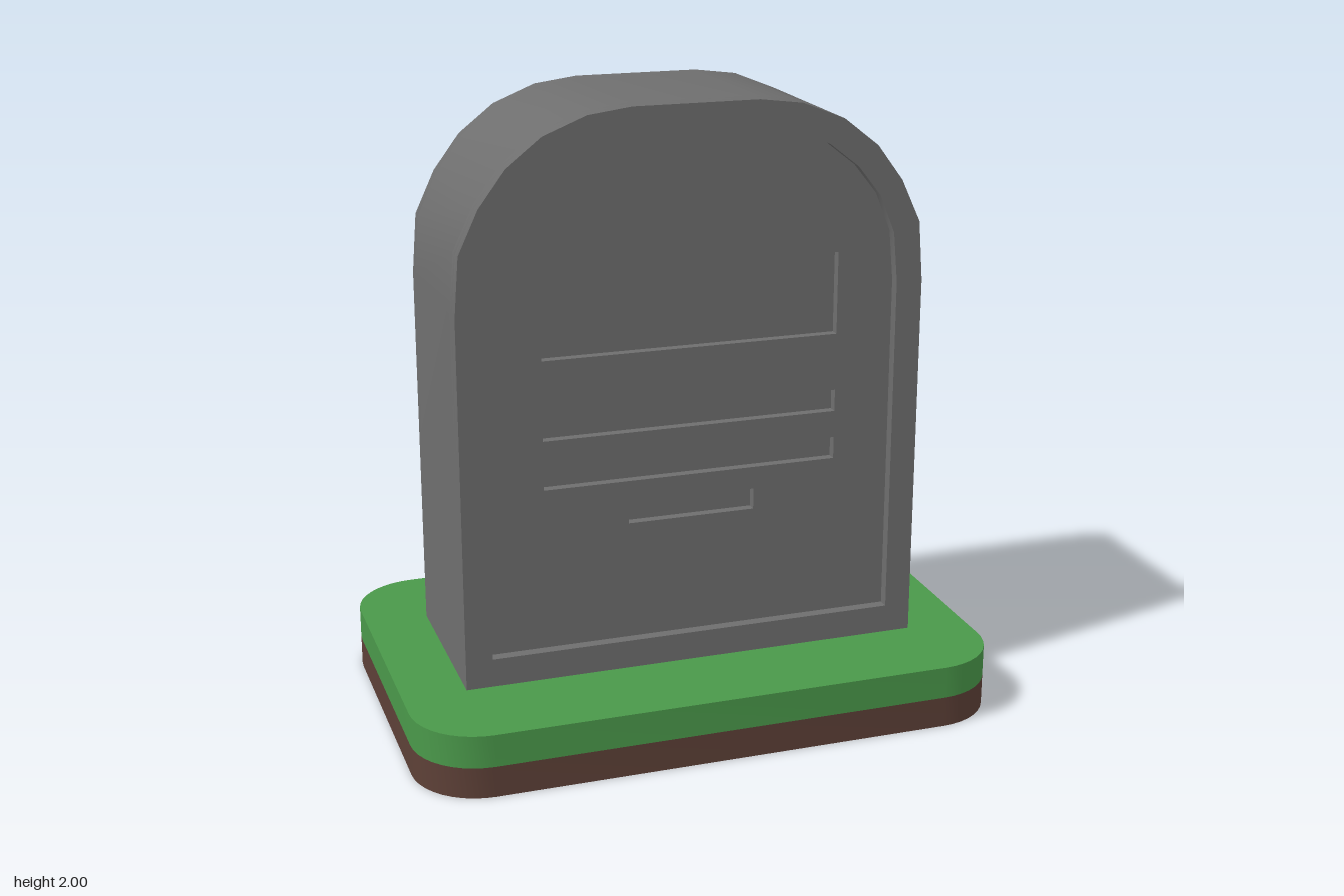
import * as THREE from 'three';
import { toCreasedNormals } from 'three/addons/utils/BufferGeometryUtils.js';

const mat = (name, color) => {
  const m = new THREE.MeshStandardMaterial({ color });
  m.name = name;
  return m;
};

// Half of an arch, from right shoulder to crown; mirrored and closed at the bottom
function archPoints(half, bottom) {
  const right = half.map(([x, y]) => new THREE.Vector2(x, y));
  const left = half.map(([x, y]) => new THREE.Vector2(-x, y)).reverse();
  const w = half[0][0];
  return [new THREE.Vector2(-w, bottom), new THREE.Vector2(w, bottom), ...right, ...left];
}

// Rectangle outline centred on x = 0
function rectPoints(halfWidth, y0, y1) {
  return [[-halfWidth, y0], [halfWidth, y0], [halfWidth, y1], [-halfWidth, y1]]
    .map(([x, y]) => new THREE.Vector2(x, y));
}

// Slice from start to end along z, with optional holes
function slice(points, holes, start, end) {
  const shape = new THREE.Shape(points);
  for (const h of holes) shape.holes.push(new THREE.Path(h));
  const geo = new THREE.ExtrudeGeometry(shape, { depth: end - start, bevelEnabled: false });
  geo.translate(0, 0, start);
  return toCreasedNormals(geo, 0.6);
}

// Horizontal plate with rounded corners
function plate(y0, y1) {
  const w = 0.953, d = 0.62, r = 0.215, s = new THREE.Shape();
  s.absarc(w - r, d - r, r, 0, Math.PI / 2);
  s.absarc(r - w, d - r, r, Math.PI / 2, Math.PI);
  s.absarc(r - w, r - d, r, Math.PI, Math.PI * 1.5);
  s.absarc(w - r, r - d, r, Math.PI * 1.5, Math.PI * 2);
  const geo = new THREE.ExtrudeGeometry(s, { depth: y1 - y0, bevelEnabled: false, curveSegments: 5 });
  geo.rotateX(-Math.PI / 2);
  geo.translate(0, y0, 0);
  return toCreasedNormals(geo, 0.6);
}

export function createModel() {
  const group = new THREE.Group();
  const stone = mat('stone grey', 0x6e6e6e);
  const grass = mat('grass green', 0x4a984a);
  const soil = mat('soil brown', 0x5d4037);

  const add = (name, geo, material) => {
    const mesh = new THREE.Mesh(geo, material);
    mesh.name = name;
    group.add(mesh);
  };

  // Ground plates
  add('soilBase', plate(0, 0.1), soil);
  add('grassTop', plate(0.1, 0.205), grass);

  const outer = archPoints([[0.75, 1.4], [0.735, 1.59], [0.672, 1.725], [0.588, 1.838],
    [0.475, 1.927], [0.338, 1.982], [0.2, 2]], 0.2);
  const inner = archPoints([[0.665, 1.4], [0.65, 1.56], [0.6, 1.682], [0.525, 1.776],
    [0.428, 1.852], [0.31, 1.9], [0.2, 1.915]], 0.297);

  // Engraved bars on the front
  const bars = [
    rectPoints(0.48, 1.238, 1.503), rectPoints(0.48, 0.982, 1.053),
    rectPoints(0.48, 0.823, 0.894), rectPoints(0.208, 0.682, 0.75),
  ];

  // Stone in slices: raised rims at both faces, engraved panel, solid core
  add('frontRim', slice(outer, [inner], 0.265, 0.3), stone);
  add('engravedPanel', slice(outer, bars, 0.235, 0.265), stone);
  add('stoneCore', slice(outer, [], -0.265, 0.235), stone);
  add('backRim', slice(outer, [inner], -0.3, -0.265), stone);

  // Longest side is the height or width, both measured in the same frame
  return group;
}
